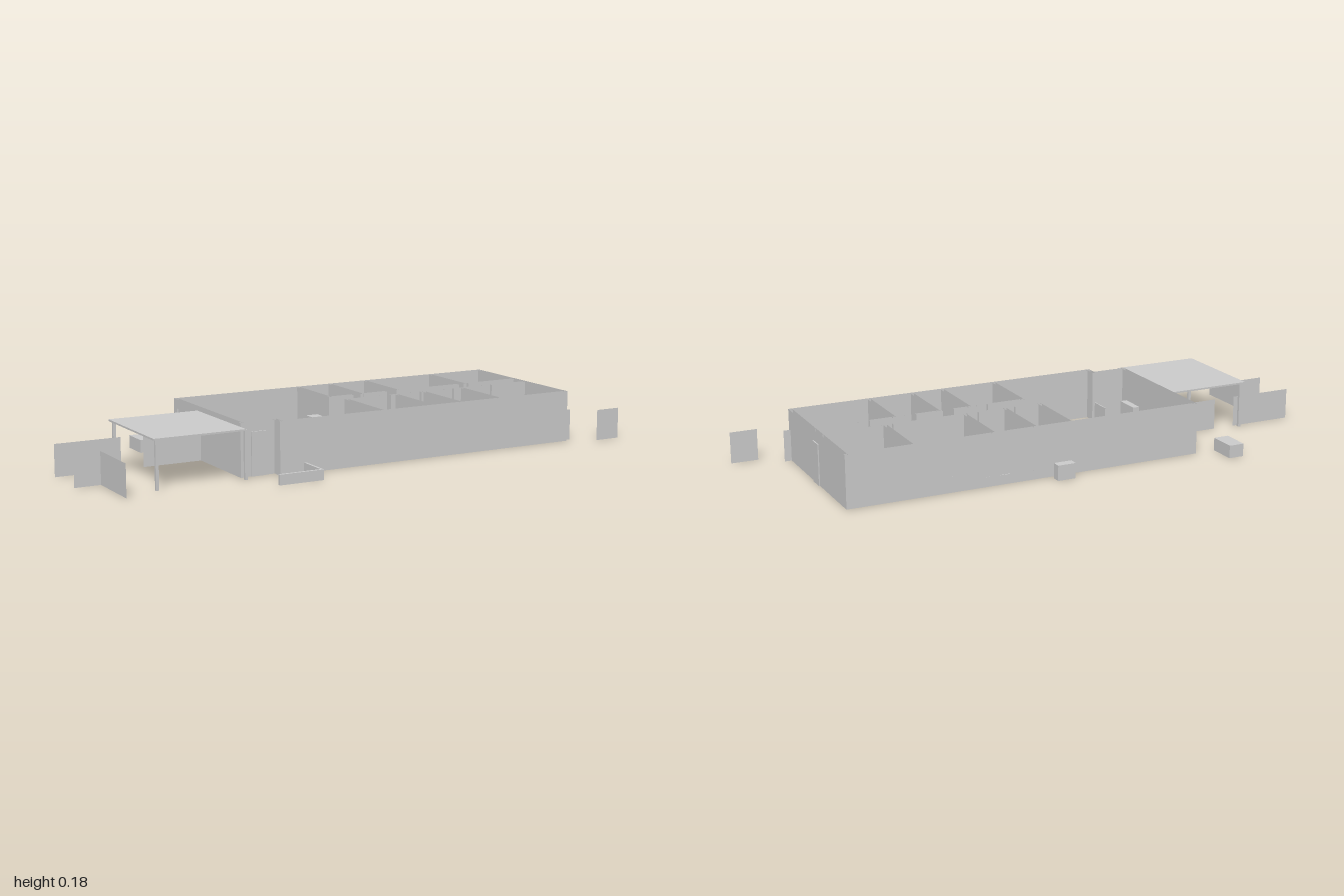
import * as THREE from 'three';

const material = new THREE.MeshStandardMaterial({ color: 0xcccccc, side: THREE.DoubleSide });
const T = 0.012; // wall thickness
const H = 0.18;  // wall height

export function createModel() {
  const root = new THREE.Group();
  root.name = 'singleStoreyHouse';

  const group = (name) => {
    const g = new THREE.Group();
    g.name = name;
    root.add(g);
    return g;
  };

  // Box given by its extents
  const box = (parent, name, x0, x1, y0, y1, z0, z1) => {
    const m = new THREE.Mesh(new THREE.BoxGeometry(x1 - x0, y1 - y0, z1 - z0), material);
    m.position.set((x0 + x1) / 2, (y0 + y1) / 2, (z0 + z1) / 2);
    m.name = name;
    parent.add(m);
  };

  // Flat upright sheet; openings are [start, end, bottom, top]
  const sheet = (a, b, y0, y1, openings = []) => {
    const rect = (S, u0, u1, v0, v1) => new S([[u0, v0], [u1, v0], [u1, v1], [u0, v1]]
      .map(([u, v]) => new THREE.Vector2(u, v)));
    const shape = rect(THREE.Shape, a, b, y0, y1);
    for (const o of openings) shape.holes.push(rect(THREE.Path, ...o));
    return new THREE.Mesh(new THREE.ShapeGeometry(shape), material);
  };

  // Hollow wall: two skins, closed ends and recessed panes, open at top and bottom
  const wall = (name, axis, at, a, b, dir = -1, openings = []) => {
    const g = group(name);
    const add = (mesh, offset, part) => {
      mesh.position.z = offset;
      mesh.name = part;
      g.add(mesh);
    };
    add(sheet(a, b, 0, H, openings), 0, 'outerSkin');
    add(sheet(a, b, 0, H, openings), dir * T, 'innerSkin');
    for (const o of openings) add(sheet(...o), dir * T / 2, 'windowPane');
    for (const u of [a, b]) {
      const end = new THREE.Mesh(new THREE.PlaneGeometry(T, H), material);
      end.rotation.y = Math.PI / 2;
      end.position.set(u, H / 2, 0);
      add(end, dir * T / 2, 'wallEnd');
    }
    if (axis === 'x') {
      g.position.z = at;
    } else {
      // Local x runs along world z, local z along world -x
      g.rotation.y = -Math.PI / 2;
      g.position.x = at;
    }
  };

  // Outer walls with wide and narrow windows, given by their centres
  const wide = (x, width = 0.15) => [x - width / 2, x + width / 2, 0.047, 0.149];
  const narrow = (x, width = 0.035) => [x - width / 2, x + width / 2, 0.032, 0.149];
  wall('frontWall', 'x', 0.265, -0.355, 0.8, -1,
    [wide(-0.185, 0.19), wide(0.11), narrow(0.264), wide(0.44), wide(0.655)]);
  wall('backWall', 'x', -0.293, -0.48, 0.8, 1,
    [wide(-0.237, 0.238), narrow(0.134), narrow(0.249), narrow(0.324), narrow(0.454), wide(0.678, 0.164)]);
  wall('rightEndWall', 'z', 0.8, -0.293, 0.265, 1);
  wall('leftEndWall', 'z', -0.48, -0.293, 0.23, -1, [[-0.27, -0.13, 0.005, 0.148]]);
  wall('entryWall', 'x', 0.225, -0.48, -0.355);
  wall('entryReturnWall', 'z', -0.355, 0.213, 0.265);

  // Corridor walls, broken by a doorway after each centre
  const corridorWall = (name, z, start, doorways) => {
    let from = start;
    for (const x of doorways) {
      wall(name, 'x', z, from, x - 0.02);
      from = x + 0.02;
    }
    wall(name, 'x', z, from, 0.79);
  };
  corridorWall('frontCorridorWall', 0.024, 0.03, [0.19, 0.317, 0.455, 0.62]);
  corridorWall('backCorridorWall', -0.047, 0, [0.12, 0.257, 0.565]);

  // Room partitions
  for (const x of [0.03, 0.23, 0.345, 0.505]) wall('frontPartition', 'z', x, 0.015, 0.255);
  for (const x of [0, 0.13, 0.28, 0.565]) wall('backPartition', 'z', x, -0.283, -0.05);

  // Doors
  const doors = group('doors');
  box(doors, 'frontDoor', -0.44, -0.387, 0, 0.148, 0.222, 0.23);
  box(doors, 'corridorEndDoor', 0.796, 0.804, 0, 0.143, -0.043, 0.01);

  // Carport roof on slim posts
  const carport = group('carport');
  box(carport, 'carportRoof', -0.8, -0.48, 0.162, 0.168, -0.1, 0.27);
  for (const [x, z] of [[-0.786, 0.258], [-0.476, 0.258], [-0.786, -0.09]])
    box(carport, 'carportPost', x - 0.005, x + 0.005, 0, 0.163, z - 0.005, z + 0.005);

  // Thin fence panels
  const fences = group('fences');
  const fence = (a, b, z) => {
    const panel = sheet(a, b, 0, 0.11);
    panel.position.z = z;
    panel.name = 'fencePanel';
    fences.add(panel);
    return panel;
  };
  fence(-1, -0.77, -0.075);
  fence(-0.69, -0.48, -0.075);
  fence(-1, -0.91, 0.1);
  fence(0.73, 0.825, 0.25);
  fence(0.9, 0.995, 0.31);
  const sidePanel = fence(0.1, 0.31, 0);
  sidePanel.rotation.y = -Math.PI / 2;
  sidePanel.position.x = -0.91;

  // Low garden wall and outdoor units
  const garden = group('garden');
  box(garden, 'gardenWallFront', -0.42, -0.26, 0, 0.035, 0.377, 0.387);
  box(garden, 'gardenWallSide', -0.268, -0.26, 0, 0.035, 0.265, 0.377);
  box(garden, 'storageUnit', -0.61, -0.555, 0, 0.045, -0.39, -0.29);
  box(garden, 'outdoorUnit', 0.015, 0.08, 0, 0.053, -0.342, -0.31);

  // Beds with headboard, pillows and two nightstands; dir points to the foot
  const bed = (x, z, dir) => {
    const g = group('bed');
    const part = (name, u0, u1, y0, y1, z0, z1) => {
      const [a, b] = [x + dir * u0, x + dir * u1];
      box(g, name, Math.min(a, b), Math.max(a, b), y0, y1, z + z0, z + z1);
    };
    part('mattress', 0.003, 0.12, 0, 0.035, -0.045, 0.045);
    part('headboard', 0, 0.004, 0, 0.06, -0.045, 0.045);
    for (const s of [-1, 1]) {
      part('pillow', 0.006, 0.024, 0.035, 0.042, s * 0.021 - 0.016, s * 0.021 + 0.016);
      part('nightstand', 0, 0.022, 0, 0.03, s * 0.06 - 0.013, s * 0.06 + 0.013);
    }
  };
  bed(0.78, 0.155, -1);
  bed(0.36, 0.155, 1);
  bed(0.048, 0.155, 1);
  bed(0.78, -0.175, -1);

  // Furniture standing on the ground: centre, width, depth, height
  const furniture = group('furniture');
  const piece = (name, x, z, w, d, h) =>
    box(furniture, name, x - w / 2, x + w / 2, 0, h, z - d / 2, z + d / 2);

  // Closets along the front corridor wall
  for (const [x, w] of [[0.108, 0.115], [0.395, 0.07], [0.555, 0.07], [0.72, 0.12]])
    piece('closet', x, 0.044, w, 0.028, 0.13);

  // Bathroom fixtures
  for (const [x, z] of [[0.262, 0.103], [0.175, -0.265], [0.259, -0.185]])
    piece('toilet', x, z, 0.036, 0.045, 0.04);
  for (const [x, z] of [[0.267, 0.044], [0.267, 0.175], [0.18, -0.22], [0.181, -0.14], [0.264, -0.125]])
    piece('basin', x, z, 0.03, 0.036, 0.05);
  piece('bathtub', 0.299, 0.223, 0.107, 0.045, 0.04);
  piece('showerTray', 0.241, -0.26, 0.068, 0.05, 0.03);
  piece('showerTray', 0.328, -0.232, 0.065, 0.1, 0.03);

  // Kitchen and utility corner
  piece('kitchenCounter', -0.159, -0.158, 0.073, 0.185, 0.06);
  piece('kitchenCounter', -0.122, -0.268, 0.145, 0.035, 0.06);
  piece('kitchenIsland', -0.031, -0.18, 0.038, 0.13, 0.06);
  piece('fridge', -0.033, -0.088, 0.043, 0.047, 0.11);
  piece('utilityCounter', 0.059, -0.188, 0.078, 0.025, 0.06);
  piece('utilityCounter', 0.089, -0.119, 0.018, 0.113, 0.06);
  piece('utilityBox', 0.022, -0.22, 0.016, 0.03, 0.06);

  // Dressing room
  piece('wardrobe', 0.407, -0.082, 0.225, 0.035, 0.1);
  piece('wardrobe', 0.375, -0.156, 0.16, 0.032, 0.1);
  piece('wardrobe', 0.303, -0.12, 0.015, 0.04, 0.1);
  piece('dresser', 0.451, -0.267, 0.042, 0.033, 0.05);
  piece('dresser', 0.518, -0.268, 0.085, 0.03, 0.05);

  // Living room
  piece('diningTable', -0.33, -0.152, 0.06, 0.125, 0.045);
  piece('coffeeTable', -0.181, 0.104, 0.062, 0.063, 0.03);
  piece('sofa', -0.055, 0.1, 0.02, 0.13, 0.045);
  piece('screen', -0.332, 0.13, 0.004, 0.08, 0.08);
  piece('entryCabinet', -0.453, 0.128, 0.025, 0.095, 0.07);

  return root;
}
